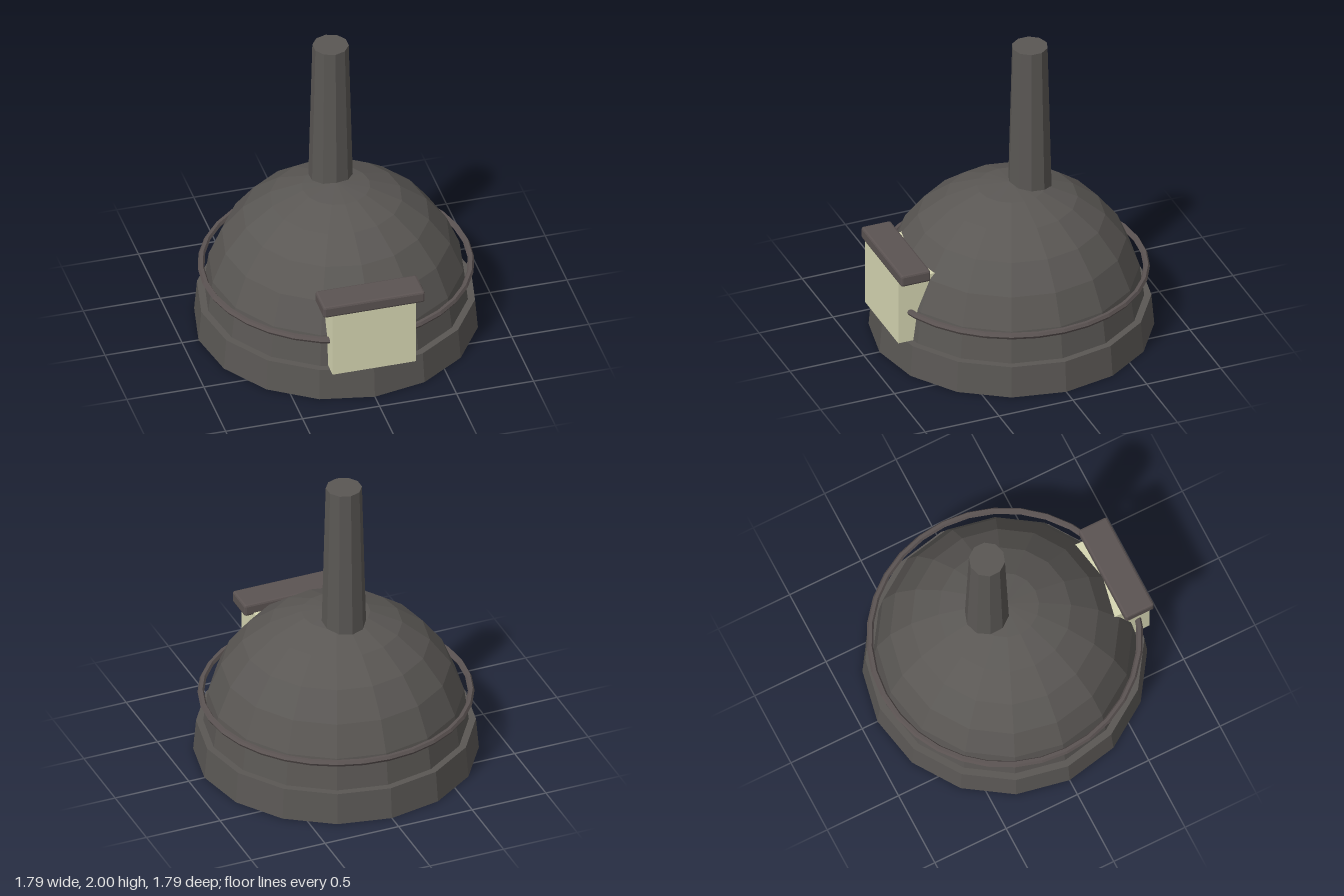
import * as THREE from 'three';
import { RoundedBoxGeometry } from 'three/addons/geometries/RoundedBoxGeometry.js';

const material = (name, color) =>
  new THREE.MeshStandardMaterial({ name, color, flatShading: true });

export function createModel() {
  const iron = material('dark iron', 0x5a5754);
  const trim = material('warm iron trim', 0x5b5352);
  const glow = material('pale opening', 0xd6d6b2);

  const model = new THREE.Group();
  model.name = 'domeOven';
  const add = (name, geometry, mat, x, y, z) => {
    const mesh = new THREE.Mesh(geometry, mat);
    mesh.name = name;
    mesh.position.set(x, y, z);
    model.add(mesh);
    return mesh;
  };

  // Sixteen-sided plinth
  add('base', new THREE.CylinderGeometry(0.875, 0.893, 0.21, 16), iron, 0, 0.105, 0);

  // Faceted half sphere resting on the plinth
  add('dome', new THREE.SphereGeometry(0.83, 16, 6, 0, Math.PI * 2, 0, Math.PI / 2),
    iron, 0, 0.21, 0);

  // Thin hoop standing slightly clear of the dome
  add('hoop', new THREE.TorusGeometry(0.845, 0.021, 6, 32), trim, 0, 0.42, 0)
    .rotation.x = Math.PI / 2;

  // Tapered chimney behind the dome's centre
  add('chimney', new THREE.CylinderGeometry(0.114, 0.142, 1.1, 10), iron, 0, 1.45, -0.125);

  // Oven mouth, its back buried in the dome
  add('mouth', new THREE.BoxGeometry(0.54, 0.457, 0.38), glow, 0, 0.4385, 0.688);

  // Bevelled lintel over the mouth
  add('lintel', new RoundedBoxGeometry(0.66, 0.08, 0.2, 1, 0.014), trim, 0, 0.69, 0.782);

  return model;
}
